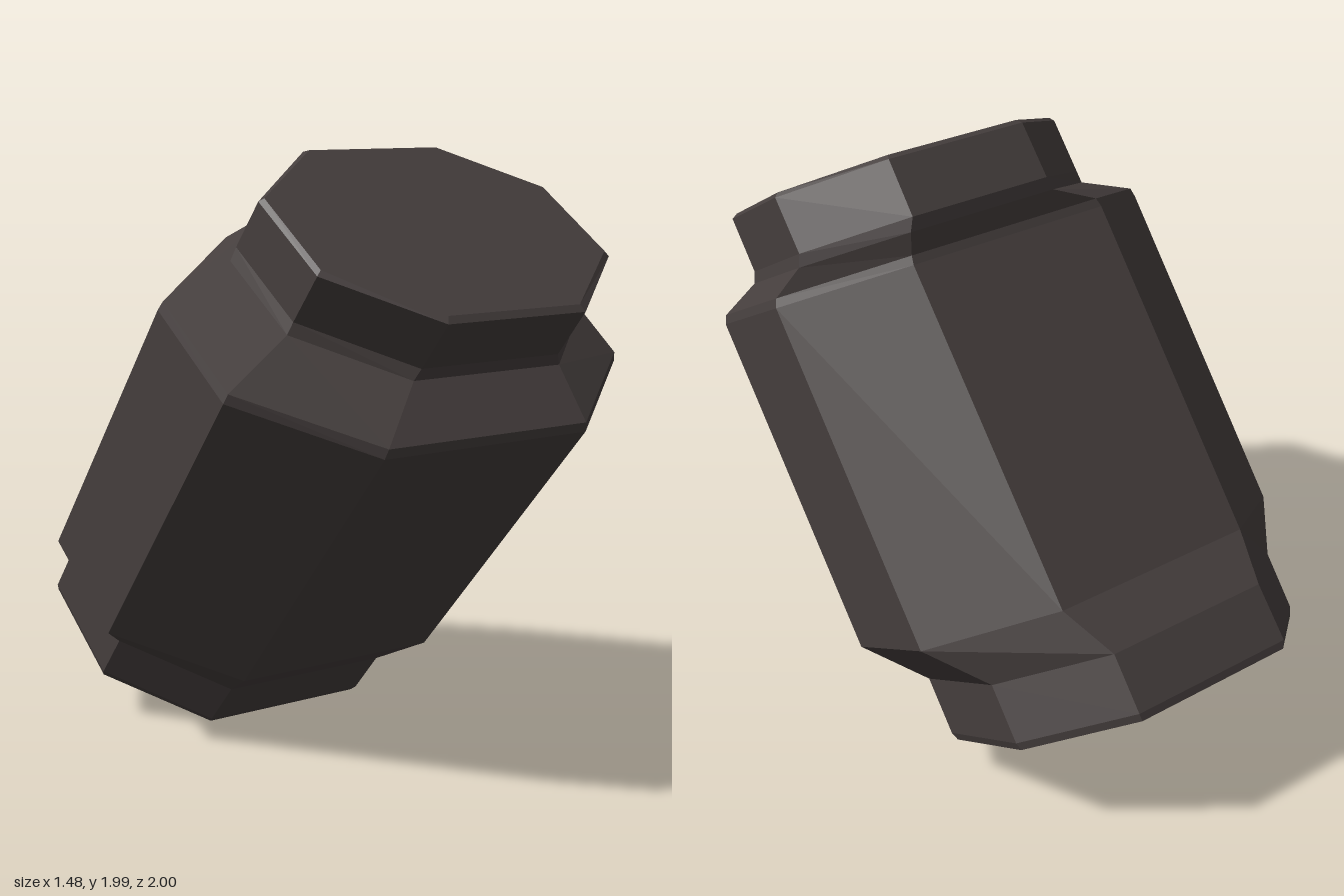
import * as THREE from 'three';

// Slanted octagonal section: front edge (zf, yf), back edge (zb, yb),
// x0..x1 is the full width, f0..f1 the width of the front and back flats.
const section = (zf, yf, zb, yb, x0, x1, f0, f1) => {
  const at = (x, t) => [x, yf + (yb - yf) * t, zf + (zb - zf) * t];
  return [at(f0, 0), at(f1, 0), at(x1, 0.29), at(x1, 0.71),
    at(f1, 1), at(f0, 1), at(x0, 0.71), at(x0, 0.29)];
};

// Faceted skin over sections listed from top to bottom.
function loft(rings, closeTop, closeBottom) {
  const pos = [];
  const tri = (a, b, c) => pos.push(...a, ...b, ...c);
  for (let i = 0; i < rings.length - 1; i++) {
    for (let k = 0; k < 8; k++) {
      const n = (k + 1) % 8, up = rings[i], low = rings[i + 1];
      tri(up[k], low[k], low[n]);
      tri(up[k], low[n], up[n]);
    }
  }
  const top = rings[0], end = rings[rings.length - 1];
  for (let k = 1; k < 7; k++) {
    if (closeTop) tri(top[0], top[k], top[k + 1]);
    if (closeBottom) tri(end[0], end[k + 1], end[k]);
  }
  const geo = new THREE.BufferGeometry();
  geo.setAttribute('position', new THREE.Float32BufferAttribute(pos, 3));
  geo.computeVertexNormals();
  return geo;
}

export function createModel() {
  const group = new THREE.Group();
  group.name = 'slantedCanister';
  const darkGrey = new THREE.MeshStandardMaterial({ color: 0x453e3d });
  darkGrey.name = 'darkGrey';

  const add = (name, rings, closeTop, closeBottom) => {
    const mesh = new THREE.Mesh(loft(rings, closeTop, closeBottom), darkGrey);
    mesh.name = name;
    group.add(mesh);
  };

  // Sections shared by neighbouring parts
  const neck = section(0.865, 1.345, 0.09, 1.795, -0.475, 0.655, -0.18, 0.375);
  const bodyEnd = section(0.2, 0.26, -0.7, 0.805, -0.735, 0.73, -0.37, 0.37);

  // Offset cap with a thin bevel around its face
  add('cap', [
    section(0.985, 1.547, 0.255, 1.99, -0.445, 0.63, -0.15, 0.345),
    section(1.0, 1.525, 0.235, 1.985, -0.46, 0.645, -0.16, 0.355),
    section(0.875, 1.38, 0.1, 1.84, -0.46, 0.645, -0.16, 0.36),
    neck,
  ], true, false);

  // Shoulder and long leaning body
  add('body', [
    neck,
    section(0.997, 1.185, 0.09, 1.715, -0.73, 0.725, -0.36, 0.375),
    section(0.99, 1.155, 0.073, 1.69, -0.74, 0.735, -0.37, 0.38),
    bodyEnd,
  ], false, false);

  // Narrower base
  add('base', [
    bodyEnd,
    section(0.02, 0.165, -0.86, 0.7, -0.61, 0.575, -0.315, 0.29),
    section(-0.11, 0.018, -0.99, 0.55, -0.61, 0.575, -0.32, 0.29),
    section(-0.135, 0, -1.0, 0.525, -0.6, 0.565, -0.31, 0.285),
  ], false, true);

  return group;
}
